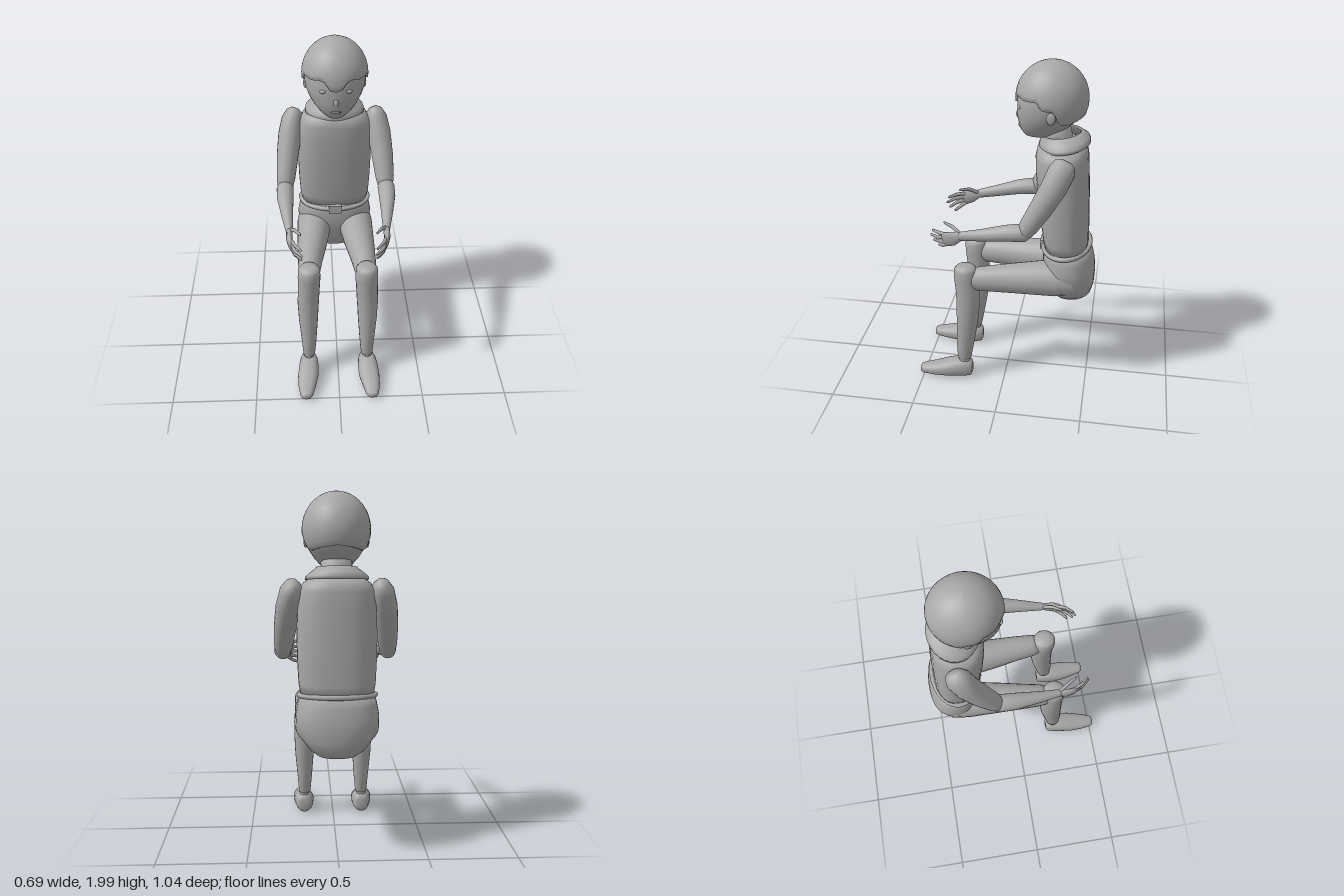
import * as THREE from 'three';

const grey = new THREE.MeshStandardMaterial({ color: 0xa8a8a8, side: THREE.DoubleSide });
grey.name = 'plain grey';

const UP = new THREE.Vector3(0, 1, 0), FORWARD = new THREE.Vector3(0, 0, 1);

function part(name, geometry) {
  const mesh = new THREE.Mesh(geometry, grey);
  mesh.name = name;
  return mesh;
}

// Smooth skin over elliptical rings [x, y, z, half width, half depth].
// Rings stand square to `axis`, or to the path when no axis is given.
function loft(rings, { axis = null, sides = 20, caps = true, power = 2 } = {}) {
  const pos = [], idx = [], n = rings.length;
  const centre = rings.map(r => new THREE.Vector3(r[0], r[1], r[2]));
  rings.forEach((r, i) => {
    const t = axis ? axis.clone()
      : centre[Math.min(i + 1, n - 1)].clone().sub(centre[Math.max(i - 1, 0)]).normalize();
    const u = new THREE.Vector3(1, 0, 0).addScaledVector(t, -t.x).normalize();
    const v = t.clone().cross(u);
    const bend = c => Math.sign(c) * Math.abs(c) ** (2 / power);
    for (let j = 0; j < sides; j++) {
      const a = j / sides * Math.PI * 2;
      const p = centre[i].clone().addScaledVector(u, r[3] * bend(Math.cos(a)))
        .addScaledVector(v, r[4] * bend(Math.sin(a)));
      pos.push(p.x, p.y, p.z);
    }
  });
  for (let i = 0; i < n - 1; i++) for (let j = 0; j < sides; j++) {
    const k = (j + 1) % sides, a = i * sides + j, b = i * sides + k;
    idx.push(a, b, b + sides, a, b + sides, a + sides);
  }
  if (caps) {
    const s = n * sides, top = (n - 1) * sides;
    pos.push(...centre[0].toArray(), ...centre[n - 1].toArray());
    for (let j = 0; j < sides; j++) {
      const k = (j + 1) % sides;
      idx.push(s, k, j, s + 1, top + j, top + k);
    }
  }
  const g = new THREE.BufferGeometry();
  g.setAttribute('position', new THREE.Float32BufferAttribute(pos, 3));
  g.setIndex(idx);
  g.computeVertexNormals();
  return g;
}

// Hair cap: part of an ellipsoid above a wavy hairline, with a turned-in rim
function hairGeometry() {
  const line = [[0, 1.765], [10, 1.775], [18, 1.815], [28, 1.825], [45, 1.815], [70, 1.82], [80, 1.78],
    [98, 1.775], [107, 1.705], [120, 1.69], [150, 1.71], [180, 1.725]];
  const edge = deg => {
    const i = Math.max(1, line.findIndex(p => p[0] >= deg - 1e-6));
    const [a, b] = [line[i - 1], line[i]];
    return THREE.MathUtils.mapLinear(deg, a[0], b[0], a[1], b[1]);
  };
  const cols = 72, rows = 12, pos = [], idx = [];
  for (let i = 0; i <= rows + 1; i++) for (let j = 0; j < cols; j++) {
    const phi = j / cols * 360, a = phi * Math.PI / 180;
    const low = Math.asin((edge(phi > 180 ? 360 - phi : phi) - 1.795) / 0.205);
    const el = THREE.MathUtils.lerp(low, Math.PI / 2, Math.max(0, i - 1) / rows);
    const s = i === 0 ? 0.92 : 1;
    pos.push(0.186 * s * Math.cos(el) * Math.sin(a), 1.795 + 0.205 * Math.sin(el),
      -0.238 + 0.198 * s * Math.cos(el) * Math.cos(a));
  }
  for (let i = 0; i <= rows; i++) for (let j = 0; j < cols; j++) {
    const k = (j + 1) % cols, a = i * cols + j, b = i * cols + k;
    idx.push(a, b, b + cols, a, b + cols, a + cols);
  }
  const g = new THREE.BufferGeometry();
  g.setAttribute('position', new THREE.Float32BufferAttribute(pos, 3));
  g.setIndex(idx);
  g.computeVertexNormals();
  return g;
}

function blob(name, x, y, z, sx, sy, sz) {
  const g = new THREE.SphereGeometry(1, 14, 10).scale(sx, sy, sz).translate(x, y, z);
  return part(name, g);
}

function createHead() {
  const head = new THREE.Group();
  head.name = 'head';
  head.add(part('face', loft([
    [0, 1.575, -0.17, 0.03, 0.05], [0, 1.585, -0.175, 0.06, 0.085], [0, 1.61, -0.185, 0.092, 0.112],
    [0, 1.645, -0.2, 0.122, 0.14], [0, 1.69, -0.22, 0.15, 0.168], [0, 1.74, -0.233, 0.168, 0.183],
    [0, 1.8, -0.238, 0.174, 0.187], [0, 1.87, -0.238, 0.16, 0.172], [0, 1.94, -0.238, 0.11, 0.12],
  ], { axis: UP, sides: 28 })));
  head.add(part('hair', hairGeometry()));
  head.add(blob('nose', 0, 1.695, -0.056, 0.016, 0.025, 0.013));
  head.add(blob('upperLip', 0, 1.637, -0.066, 0.03, 0.007, 0.009));
  head.add(blob('lowerLip', 0, 1.625, -0.071, 0.024, 0.008, 0.009));
  for (const s of [1, -1]) {
    head.add(blob('eye', s * 0.07, 1.758, -0.07, 0.02, 0.011, 0.011));
    head.add(blob('ear', s * 0.165, 1.735, -0.25, 0.012, 0.035, 0.025));
  }
  return head;
}

function createArm(s) {
  const arm = new THREE.Group();
  arm.name = s > 0 ? 'leftArm' : 'rightArm';
  const limb = (name, rings, options) =>
    arm.add(part(name, loft(rings.map(([x, ...rest]) => [s * x, ...rest]), options)));
  limb('upperArm', [
    [0.226, 1.53, -0.345, 0.02, 0.03], [0.232, 1.515, -0.338, 0.045, 0.058], [0.245, 1.475, -0.322, 0.062, 0.073],
    [0.262, 1.39, -0.287, 0.068, 0.072], [0.28, 1.27, -0.222, 0.063, 0.064], [0.292, 1.16, -0.158, 0.054, 0.054],
    [0.296, 1.115, -0.132, 0.044, 0.042], [0.297, 1.1, -0.123, 0.02, 0.02]]);
  limb('forearm', [
    [0.297, 1.112, -0.168, 0.02, 0.02], [0.297, 1.115, -0.15, 0.042, 0.043], [0.297, 1.12, -0.11, 0.05, 0.05],
    [0.296, 1.11, -0.03, 0.048, 0.045], [0.285, 1.08, 0.1, 0.034, 0.035], [0.272, 1.055, 0.22, 0.021, 0.027],
    [0.271, 1.05, 0.24, 0.015, 0.018]]);
  limb('palm', [
    [0.272, 1.055, 0.21, 0.014, 0.018], [0.271, 1.05, 0.235, 0.018, 0.029], [0.272, 1.035, 0.275, 0.018, 0.044],
    [0.263, 1.022, 0.315, 0.015, 0.044], [0.258, 1.018, 0.33, 0.007, 0.03]], { sides: 14 });
  // Digits: [start, middle, tip]
  const digits = {
    thumb: [[0.265, 1.065, 0.23], [0.24, 1.095, 0.28], [0.207, 1.1, 0.335]],
    indexFinger: [[0.262, 1.052, 0.31], [0.242, 1.052, 0.36], [0.205, 1.045, 0.405]],
    middleFinger: [[0.262, 1.032, 0.31], [0.242, 1.023, 0.37], [0.2, 1.012, 0.415]],
    ringFinger: [[0.262, 1.012, 0.31], [0.242, 0.997, 0.36], [0.203, 0.98, 0.4]],
    littleFinger: [[0.262, 0.993, 0.305], [0.244, 0.972, 0.338], [0.212, 0.955, 0.368]],
  };
  for (const [name, [a, b, c]] of Object.entries(digits)) {
    const near = c.map((v, i) => v + (b[i] - v) * 0.12);
    limb(name, [[...a, 0.01, 0.012], [...b, 0.009, 0.011], [...near, 0.006, 0.008], [...c, 0.002, 0.003]],
      { sides: 10 });
  }
  return arm;
}

function createLeg(s) {
  const leg = new THREE.Group();
  leg.name = s > 0 ? 'leftLeg' : 'rightLeg';
  const limb = (name, rings, options) =>
    leg.add(part(name, loft(rings.map(([x, ...rest]) => [s * x, ...rest]), options)));
  limb('thigh', [
    [0.125, 0.745, -0.44, 0.06, 0.06], [0.125, 0.745, -0.4, 0.1, 0.095], [0.128, 0.746, -0.3, 0.108, 0.11],
    [0.142, 0.735, -0.12, 0.093, 0.095], [0.158, 0.725, 0.05, 0.075, 0.082], [0.165, 0.718, 0.15, 0.065, 0.073],
    [0.168, 0.716, 0.2, 0.05, 0.055]], { axis: FORWARD });
  limb('shin', [
    [0.18, 0.135, 0.246, 0.026, 0.032], [0.178, 0.148, 0.246, 0.036, 0.042], [0.177, 0.25, 0.238, 0.045, 0.053],
    [0.178, 0.4, 0.223, 0.057, 0.064], [0.177, 0.52, 0.216, 0.063, 0.069], [0.172, 0.62, 0.216, 0.064, 0.07],
    [0.168, 0.72, 0.224, 0.066, 0.071], [0.168, 0.775, 0.227, 0.064, 0.068], [0.168, 0.795, 0.227, 0.05, 0.053],
    [0.168, 0.802, 0.227, 0.025, 0.027]], { axis: UP });
  limb('foot', [
    [0.18, 0.07, 0.197, 0.028, 0.035], [0.18, 0.07, 0.205, 0.042, 0.052], [0.18, 0.073, 0.24, 0.053, 0.062],
    [0.182, 0.072, 0.29, 0.06, 0.06], [0.187, 0.06, 0.36, 0.062, 0.05], [0.194, 0.051, 0.43, 0.053, 0.038],
    [0.198, 0.045, 0.5, 0.039, 0.028], [0.199, 0.044, 0.518, 0.028, 0.021], [0.199, 0.044, 0.523, 0.012, 0.01]],
  { axis: FORWARD, power: 2.4 });
  limb('ankle', [[0.18, 0.1, 0.248, 0.03, 0.035], [0.18, 0.15, 0.246, 0.03, 0.035]], { axis: UP });
  return leg;
}

export function createModel() {
  const figure = new THREE.Group();
  figure.name = 'seatedFigure';

  figure.add(part('torso', loft([
    [0, 0.92, -0.347, 0.2, 0.127], [0, 0.98, -0.34, 0.21, 0.132], [0, 1.1, -0.33, 0.216, 0.138],
    [0, 1.25, -0.318, 0.219, 0.145], [0, 1.4, -0.307, 0.212, 0.147], [0, 1.48, -0.303, 0.203, 0.145],
    [0, 1.515, -0.303, 0.185, 0.138], [0, 1.535, -0.303, 0.155, 0.122], [0, 1.56, -0.3, 0.09, 0.085],
  ], { axis: UP, sides: 32, power: 2.4 })));
  figure.add(part('pelvis', loft([
    [0, 0.582, -0.375, 0.08, 0.07], [0, 0.588, -0.378, 0.11, 0.095], [0, 0.62, -0.383, 0.15, 0.12],
    [0, 0.68, -0.38, 0.195, 0.137], [0, 0.75, -0.37, 0.224, 0.149], [0, 0.81, -0.362, 0.228, 0.15],
    [0, 0.87, -0.355, 0.217, 0.142], [0, 0.93, -0.348, 0.2, 0.13],
  ], { axis: UP, sides: 32, power: 2.3 })));

  // Belt, slightly higher at the back, with a buckle
  const rim = Array.from({ length: 24 }, (_, i) => {
    const a = i / 24 * Math.PI * 2, z = Math.cos(a);
    return new THREE.Vector3(0.208 * Math.sin(a), 0.915 - 0.012 * z, -0.347 + 0.135 * z);
  });
  figure.add(part('belt', new THREE.TubeGeometry(new THREE.CatmullRomCurve3(rim, true), 60, 0.014, 8, true)));
  figure.add(part('buckle', new THREE.BoxGeometry(0.075, 0.054, 0.025).translate(0, 0.907, -0.207)));

  // Neck and loose collar, tilted up at the back
  figure.add(part('neck', loft([[0, 1.5, -0.285, 0.095, 0.09], [0, 1.56, -0.275, 0.085, 0.085],
    [0, 1.66, -0.255, 0.085, 0.085]], { axis: UP })));
  const collar = part('collar', loft([
    [0, -0.028, 0, 0.145, 0.125], [0, -0.03, 0, 0.172, 0.14], [0, -0.012, 0, 0.168, 0.143], [0, 0.008, 0, 0.146, 0.136],
    [0, 0.028, 0.005, 0.118, 0.118], [0, 0.04, 0.01, 0.108, 0.11], [0, 0.03, 0.01, 0.098, 0.1],
    [0, -0.01, 0, 0.13, 0.12], [0, -0.028, 0, 0.145, 0.125],
  ], { axis: UP, sides: 28, caps: false }));
  collar.position.set(0, 1.565, -0.312);
  collar.rotation.x = 0.13;
  figure.add(collar, createHead());

  for (const s of [1, -1]) figure.add(createArm(s), createLeg(s));
  return figure;
}
